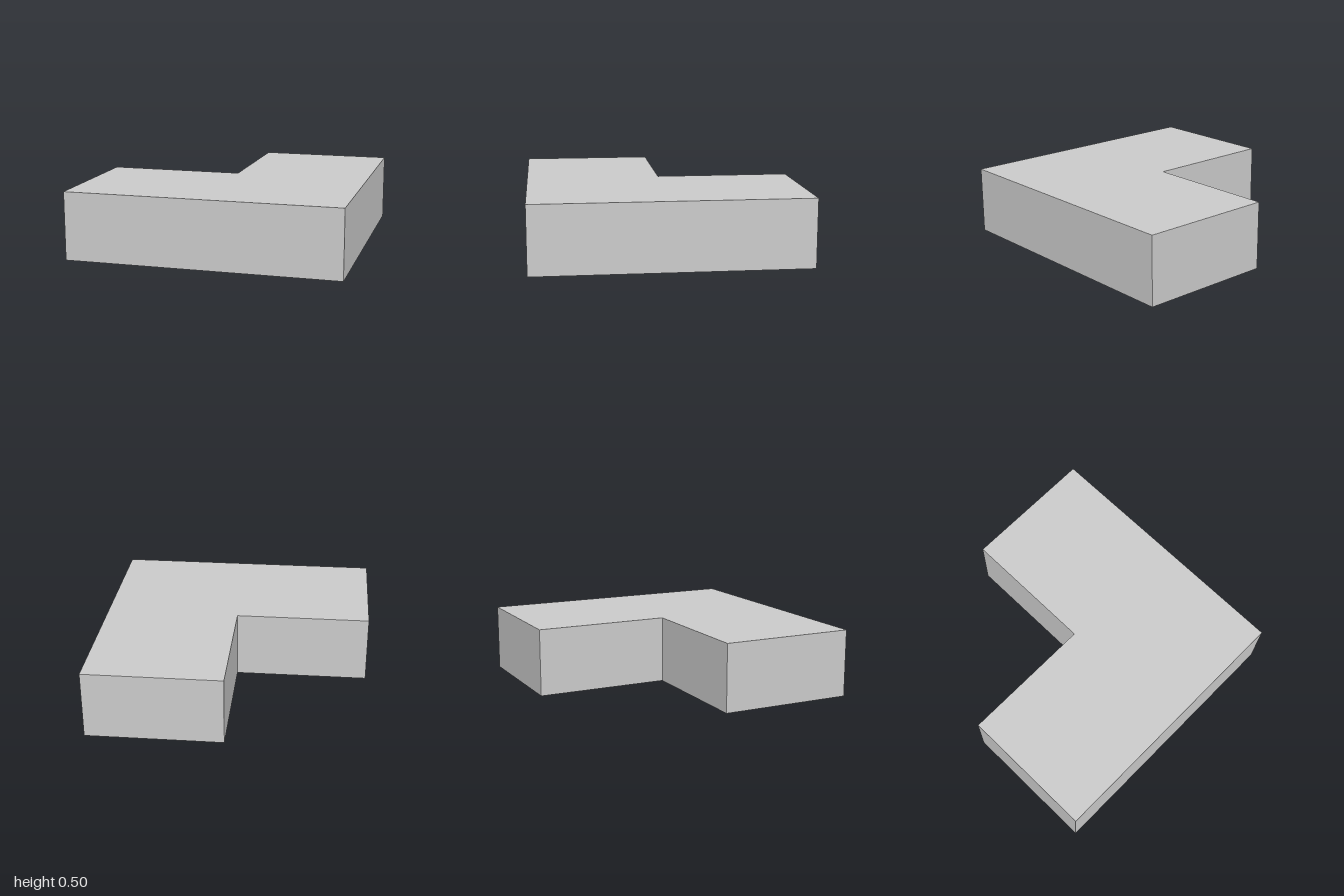
import * as THREE from 'three';

export function createModel() {
  const group = new THREE.Group();
  group.name = 'cornerBlock';

  // L-shaped plan; shape y is -z, so the notch sits at the back on the -x side
  const plan = new THREE.Shape(
    [[-1, -1], [1, -1], [1, 1], [0, 1], [0, 0], [-1, 0]].map(([x, y]) => new THREE.Vector2(x, y))
  );

  // Extrude upward to form the slab
  const geometry = new THREE.ExtrudeGeometry(plan, { depth: 0.5, bevelEnabled: false });
  geometry.rotateX(-Math.PI / 2);

  const slab = new THREE.Mesh(
    geometry,
    new THREE.MeshStandardMaterial({ color: 0xcccccc, flatShading: true })
  );
  slab.name = 'lShapedSlab';
  group.add(slab);
  return group;
}
